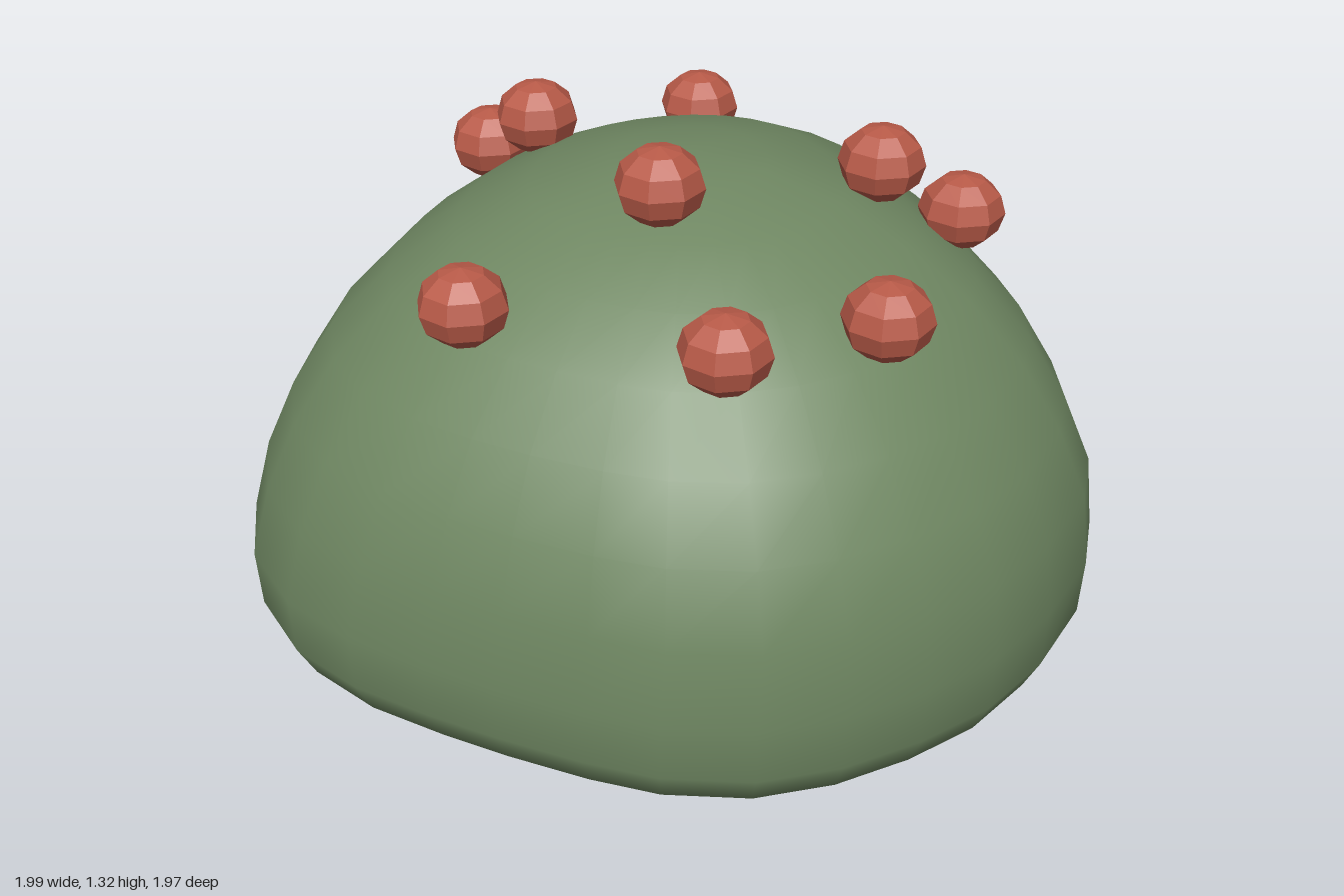
import * as THREE from 'three';

// Plan outline of the widest part, as [x, z], running from the back round the model's left
const OUTLINE = [
  [0, -0.99], [0.18, -0.98], [0.37, -0.91], [0.52, -0.79], [0.69, -0.56], [0.85, -0.32],
  [0.94, -0.15], [0.99, 0.03], [0.99, 0.2], [0.92, 0.42], [0.82, 0.6], [0.69, 0.74],
  [0.54, 0.86], [0.37, 0.945], [0.17, 0.98], [0, 0.97], [-0.2, 0.94], [-0.37, 0.905],
  [-0.56, 0.855], [-0.74, 0.765], [-0.89, 0.615], [-0.975, 0.42], [-1, 0.2], [-0.98, 0],
  [-0.95, -0.17], [-0.9, -0.33], [-0.82, -0.51], [-0.7, -0.66], [-0.56, -0.77],
  [-0.4, -0.865], [-0.21, -0.945],
];

// Dome profile from the underside to the crown, as [radius, y]
const PROFILE = [
  [0.2, 0], [0.42, 0.001], [0.62, 0.006], [0.77, 0.018], [0.87, 0.043], [0.955, 0.09],
  [0.993, 0.17], [1, 0.31], [0.96, 0.5], [0.89, 0.66], [0.795, 0.81],
  [0.665, 0.943], [0.52, 1.045], [0.36, 1.122], [0.18, 1.168],
];

// Ball centres
const BALLS = [
  [0.02, 1.228, 0.345], [-0.41, 1.14, -0.155], [0.44, 1.165, -0.02],
  [-0.55, 1.035, -0.215], [0.62, 1.035, -0.09], [-0.335, 1.035, 0.61],
  [0.235, 1.035, 0.675], [0.53, 1.035, 0.465], [-0.105, 1.035, -0.565],
];

// Lofts scaled copies of the outline, growing rounder and drifting forward with height
function domeGeometry() {
  const n = OUTLINE.length;
  const positions = [];
  const index = [];
  for (const [r, y] of PROFILE) {
    const round = 0.5 * (y / 1.18) ** 3;
    const dx = 0.018 * Math.min(1, y * 2);
    const dz = 0.05 * y;
    for (const [x, z] of OUTLINE) {
      const k = r * THREE.MathUtils.lerp(1, 1 / Math.hypot(x, z), round);
      positions.push(x * k + (y > 0.35 ? dx : 0), y, z * k + (y > 0.35 ? dz : 0));
    }
  }
  for (let j = 0; j < PROFILE.length - 1; j++) {
    for (let i = 0; i < n; i++) {
      const a = j * n + i;
      const b = j * n + (i + 1) % n;
      index.push(a, a + n, b, b, a + n, b + n);
    }
  }
  // Close the underside and the crown
  const bottom = positions.length / 3;
  positions.push(0, 0, 0, 0.02, 1.182, 0.06);
  const last = (PROFILE.length - 1) * n;
  for (let i = 0; i < n; i++) {
    const next = (i + 1) % n;
    index.push(bottom, i, next, bottom + 1, last + next, last + i);
  }
  const geometry = new THREE.BufferGeometry();
  geometry.setAttribute('position', new THREE.Float32BufferAttribute(positions, 3));
  geometry.setIndex(index);
  geometry.computeVertexNormals();
  return geometry;
}

export function createModel() {
  const model = new THREE.Group();
  model.name = 'moundWithBalls';

  // Smooth green mound
  const mound = new THREE.Mesh(
    domeGeometry(),
    new THREE.MeshStandardMaterial({ color: 0x6f8762 }),
  );
  mound.name = 'mound';
  model.add(mound);

  // Low-poly red balls, slightly flattened
  const balls = new THREE.Group();
  balls.name = 'balls';
  const ballGeometry = new THREE.SphereGeometry(0.1, 8, 6).scale(1, 0.88, 1);
  const ballMaterial = new THREE.MeshStandardMaterial({ color: 0xb85a48, flatShading: true });
  BALLS.forEach((p, i) => {
    const ball = new THREE.Mesh(ballGeometry, ballMaterial);
    ball.name = `ball${i + 1}`;
    ball.position.set(...p);
    balls.add(ball);
  });
  model.add(balls);
  return model;
}
